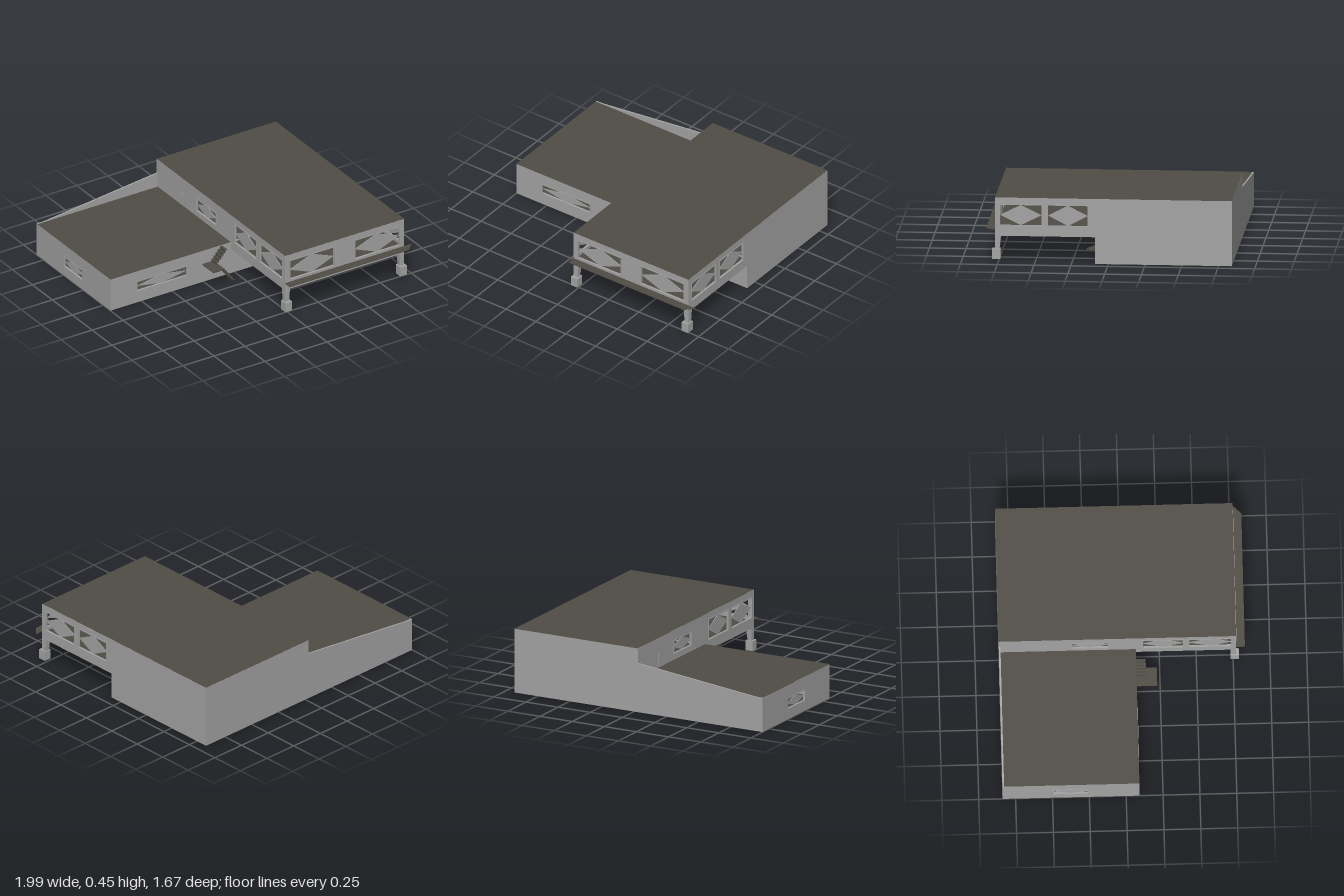
import * as THREE from 'three';

export function createModel() {
  const model = new THREE.Group();
  const wallGrey = new THREE.MeshStandardMaterial({ color: 0xa3a3a3, side: THREE.DoubleSide });
  wallGrey.name = 'wall grey';
  const slabDark = new THREE.MeshStandardMaterial({ color: 0x504d45, side: THREE.DoubleSide });
  slabDark.name = 'slab dark';

  const T = 0.012; // wall thickness
  const X0 = -1, XM = -0.03, X1 = 0.93; // wing side, joint, main side
  const Z0 = -0.84, ZM = 0.09, Z1 = 0.77; // back, recessed front, overhang front
  const LOW = 0.24, TOP = 0.45, UNDER = 0.185;

  function add(name, geometry, material, x = 0, y = 0, z = 0) {
    const mesh = new THREE.Mesh(geometry, material);
    mesh.name = name;
    mesh.position.set(x, y, z);
    model.add(mesh);
    return mesh;
  }
  // box given by its limits on each axis
  function box(name, material, xa, xb, ya, yb, za, zb) {
    return add(name, new THREE.BoxGeometry(xb - xa, yb - ya, zb - za), material,
      (xa + xb) / 2, (ya + yb) / 2, (za + zb) / 2);
  }
  // horizontal sheet
  function sheet(name, xa, xb, za, zb, y) {
    const g = new THREE.PlaneGeometry(xb - xa, zb - za).rotateX(-Math.PI / 2);
    return add(name, g, slabDark, (xa + xb) / 2, y, (za + zb) / 2);
  }
  const outline = (pts) => pts.map(([u, v]) => new THREE.Vector2(u, v));
  const rect = (a, b, c, d) => [[a, c], [b, c], [b, d], [a, d]];

  // extruded plate in the plane of a wall; facing is '+z', '-z', '+x' or '-x'
  function plate(name, pts, holes, facing, at, depth) {
    const shape = new THREE.Shape(outline(pts));
    holes.forEach((h) => shape.holes.push(new THREE.Path(outline(h))));
    const g = new THREE.ExtrudeGeometry(shape, { depth, bevelEnabled: false });
    if (facing === '+z') g.translate(0, 0, at - depth);
    if (facing === '-z') g.translate(0, 0, at);
    if (facing === '+x') g.rotateY(-Math.PI / 2).translate(at, 0, 0);
    if (facing === '-x') g.rotateY(-Math.PI / 2).translate(at + depth, 0, 0);
    add(name, g, wallGrey);
  }
  // wall with openings, each holding a slim frame and a diamond panel
  function wall(name, pts, windows, facing, at) {
    plate(name, pts, windows.map((w) => rect(...w)), facing, at, T);
    const out = facing[0] === '+' ? 1 : -1;
    for (const [a, b, c, d] of windows) {
      const u = (a + b) / 2, v = (c + d) / 2, m = 0.007;
      plate('windowFrame', rect(a - m, b + m, c - m, d + m), [rect(a, b, c, d)],
        facing, at + out * 0.003, 0.004);
      plate('diamondPanel', [[a, v], [u, c], [b, v], [u, d]], [], facing, at - out * 0.004, 0.004);
    }
  }

  // main block walls, with the front half raised off the ground
  const side = [[Z0, 0], [ZM, 0], [ZM, UNDER], [Z1, UNDER], [Z1, TOP], [Z0, TOP]];
  const sideWindows = [[0.14, 0.41, 0.26, 0.4], [0.455, 0.735, 0.26, 0.4]];
  wall('mainRightWall', side, sideWindows, '+x', X1);
  wall('mainLeftWall', side, [...sideWindows, [-0.34, -0.1, 0.285, 0.375]], '-x', XM);
  wall('mainFrontWall', rect(XM, X1, UNDER, TOP),
    [[0.01, 0.365, 0.26, 0.4], [0.535, 0.89, 0.26, 0.4]], '+z', Z1);
  wall('recessedFrontWall', rect(XM, X1, 0, LOW), [], '+z', ZM);

  // back wall, including the sloped fin above the wing
  wall('backWall', [[X0, 0], [X1, 0], [X1, TOP], [XM, TOP], [XM, 0.345], [-0.95, LOW], [X0, LOW]],
    [], '-z', Z0);

  // low wing walls
  wall('wingFrontWall', rect(X0, XM, 0, LOW), [[-0.785, -0.385, 0.09, 0.158]], '+z', ZM);
  wall('wingLeftWall', rect(Z0, ZM, 0, LOW), [[-0.49, -0.26, 0.075, 0.145]], '-x', X0);

  // roofs and floors
  sheet('mainRoof', XM, X1, Z0, Z1, TOP + 0.0005);
  sheet('wingRoof', X0, XM, Z0 + T, ZM, LOW + 0.0005);
  sheet('groundFloor', X0, X1, Z0, ZM, -0.0005);
  sheet('upperFloor', XM + T, X1 - T, Z0 + T, Z1 - T, 0.235);

  // beams under the overhang
  const B = 0.01;
  for (const x of [0.29, 0.61]) box('longBeam', wallGrey, x - B, x + B, UNDER, 0.234, ZM, Z1 - T);
  box('crossBeam', wallGrey, XM + T, X1 - T, UNDER, 0.234, 0.43 - B, 0.43 + B);
  for (const x of [XM + T, X1 - T - 0.02]) box('edgeBeam', wallGrey, x, x + 0.02, UNDER, 0.234, ZM, Z1 - T);
  box('edgeBeam', wallGrey, XM + T, X1 - T, UNDER, 0.234, Z1 - T - 0.02, Z1 - T);

  // thin ledge under the front windows, mitred at one end
  const ledge = new THREE.Shape(outline([[XM, -Z1], [0.99, -Z1], [X1, -0.83], [XM, -0.83]]));
  const ledgeGeo = new THREE.ExtrudeGeometry(ledge, { depth: 0.004, bevelEnabled: false });
  add('frontLedge', ledgeGeo.rotateX(-Math.PI / 2), slabDark, 0, 0.236, 0);

  // legs that widen towards the top, on block feet
  for (const [x, dir] of [[XM, 1], [X1, -1]]) {
    const leg = new THREE.BoxGeometry(0.04, 0.1, 0.04);
    const p = leg.attributes.position;
    for (let i = 0; i < p.count; i++) {
      if (p.getY(i) < 0) {
        if (p.getX(i) * dir > 0) p.setX(i, 0.012 * dir);
        if (p.getZ(i) < 0) p.setZ(i, -0.01);
      }
    }
    leg.computeVertexNormals();
    add('frontLeg', leg, wallGrey, x + dir * 0.02, 0.137, Z1 - 0.02);
    box('foot', wallGrey, x + dir * 0.017 - 0.027, x + dir * 0.017 + 0.027, 0.025, 0.095, 0.733, 0.789);
  }

  // doors
  function door(name, u, ya, yb, facing, at) {
    const w = 0.023, c = 0.006;
    const pts = [[u - w + c, ya], [u + w - c, ya], [u + w, ya + c], [u + w, yb - c],
      [u + w - c, yb], [u - w + c, yb], [u - w, yb - c], [u - w, ya + c]];
    plate(name, pts, [], facing, at, 0.005);
  }
  door('upperFrontDoor', 0.452, 0.243, 0.34, '+z', Z1 + 0.003);
  door('lowerFrontDoor', 0.452, 0.04, 0.14, '+z', ZM + 0.003);
  door('wingRoofDoor', -0.535, 0.243, 0.335, '-x', XM - 0.003);

  // ramp to the lower door
  const ramp = new THREE.Shape(outline([[ZM, 0], [0.185, 0], [ZM, 0.04]]));
  const rampGeo = new THREE.ExtrudeGeometry(ramp, { depth: 0.046, bevelEnabled: false });
  add('doorRamp', rampGeo.rotateY(-Math.PI / 2), slabDark, 0.475, 0, 0);

  // two flights of thin steps meeting at a landing
  box('stairLanding', slabDark, -0.26, -0.17, 0.133, 0.14, ZM, 0.23);
  function flight(name, xa, ya, xb, yb, za, zb) {
    const n = 5, dx = (xb - xa) / n, dy = (yb - ya) / n;
    for (let i = 0; i < n; i++) {
      const x = xa + dx * i, y = ya + dy * i;
      box(name + 'Riser', slabDark, x - 0.002, x + 0.002, Math.min(y, y + dy), Math.max(y, y + dy), za, zb);
      box(name + 'Tread', slabDark, x, x + dx, y + dy - 0.004, y + dy, za, zb);
    }
  }
  flight('upperFlight', -0.185, 0.14, -0.1, 0.235, ZM, 0.155);
  flight('lowerFlight', -0.17, 0.138, -0.09, 0.035, 0.157, 0.23);

  return model;
}
